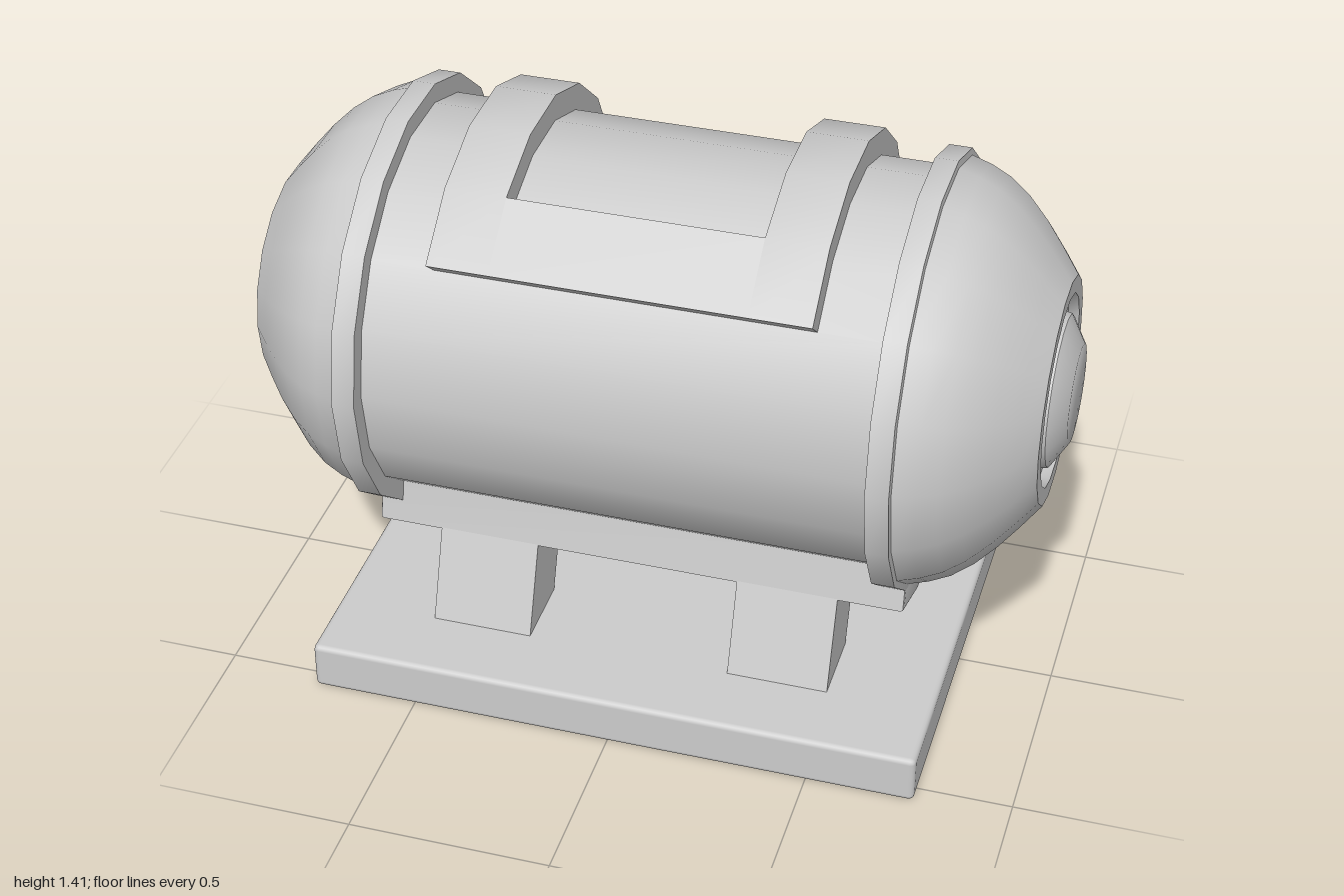
import * as THREE from 'three';
import { toCreasedNormals } from 'three/addons/utils/BufferGeometryUtils.js';
import { RoundedBoxGeometry } from 'three/addons/geometries/RoundedBoxGeometry.js';

const SIDES = 18;
const AXIS_Y = 0.87; // height of the tank's axis
const STEP = Math.PI / 9; // one facet

const material = new THREE.MeshStandardMaterial({ color: 0xcccccc });

function addMesh(parent, name, geometry) {
  const mesh = new THREE.Mesh(geometry, material);
  mesh.name = name;
  parent.add(mesh);
  return mesh;
}

// Revolves [x, radius] points around the x axis.
function revolve(points) {
  const profile = points.map(([x, r]) => new THREE.Vector2(r, x));
  const geometry = new THREE.LatheGeometry(profile, SIDES).rotateZ(-Math.PI / 2);
  return toCreasedNormals(geometry, 0.6);
}

// Extrudes a [z, y] outline along x, from x0 to x1.
function extrudeX(outline, x0, x1, bevel = 0) {
  const shape = new THREE.Shape(outline.map(([z, y]) => new THREE.Vector2(-z, y)));
  const geometry = new THREE.ExtrudeGeometry(shape, {
    depth: x1 - x0 - 2 * bevel,
    bevelEnabled: bevel > 0,
    bevelThickness: bevel,
    bevelSize: bevel,
    bevelOffset: -bevel,
    bevelSegments: 2,
  });
  geometry.rotateY(Math.PI / 2).translate(x0 + bevel, 0, 0);
  return toCreasedNormals(geometry, 0.6);
}

// Faceted arc around the tank; facets count from the front over the top.
function arcOutline(first, last, inner, outer) {
  const outline = [];
  const put = (i, r) => outline.push([r * Math.cos(i * STEP), AXIS_Y + r * Math.sin(i * STEP)]);
  for (let i = first; i <= last; i++) put(i, outer);
  for (let i = last; i >= first; i--) put(i, inner);
  return outline;
}

export function createModel() {
  const model = new THREE.Group();
  model.name = 'tankOnStand';

  // Tank shell
  const tank = new THREE.Group();
  tank.name = 'tank';
  tank.position.y = AXIS_Y;
  model.add(tank);
  addMesh(tank, 'tankBody', revolve([[-0.63, 0.487], [0.63, 0.487]]));

  // Rim, dome, groove and end plug, the same at both ends
  const endGeometry = revolve([
    [0.612, 0.47], [0.612, 0.535], [0.668, 0.535], [0.67, 0.518],
    [0.72, 0.503], [0.77, 0.48], [0.82, 0.443], [0.87, 0.392], [0.915, 0.337], [0.96, 0.278],
    [0.96, 0.235], [0.935, 0.23], [0.935, 0.19], [0.96, 0.185], [1.0, 0.12], [1.0, 0],
  ]);
  addMesh(tank, 'leftEndCap', endGeometry);
  addMesh(tank, 'rightEndCap', endGeometry).rotation.y = Math.PI;

  // Straps and the bars joining them
  const straps = new THREE.Group();
  straps.name = 'strapFrame';
  model.add(straps);
  const strapOutline = arcOutline(2, 12, 0.482, 0.552);
  addMesh(straps, 'leftStrap', extrudeX(strapOutline, 0.305, 0.455));
  addMesh(straps, 'rightStrap', extrudeX(strapOutline, -0.458, -0.308));
  addMesh(straps, 'frontBar', extrudeX(arcOutline(2, 3, 0.482, 0.552), -0.308, 0.305));
  addMesh(straps, 'backBar', extrudeX(arcOutline(8, 9, 0.52, 0.552), -0.308, 0.305));

  // Saddle under the tank
  const saddleOutline = [
    [0.255, 0.47], [0.28, 0.35], [0.11, 0.288],
    [-0.11, 0.288], [-0.28, 0.35], [-0.255, 0.47],
  ];
  addMesh(model, 'saddle', extrudeX(saddleOutline, -0.67, 0.668, 0.008));

  // Four splayed legs
  for (const [side, x0] of [['Left', 0.253], ['Right', -0.508]]) {
    for (const [end, s] of [['front', 1], ['back', -1]]) {
      const outline = [
        [0.275 * s, 0.365], [0.366 * s, 0.11], [0.172 * s, 0.11], [0.1 * s, 0.31],
      ];
      addMesh(model, `${end}${side}Leg`, extrudeX(outline, x0, x0 + 0.252));
    }
  }

  // Base plate, set slightly forward
  const base = addMesh(model, 'basePlate', new RoundedBoxGeometry(1.53, 0.125, 1.02, 2, 0.014));
  base.position.set(0.003, 0.0625, 0.04);

  return model;
}
